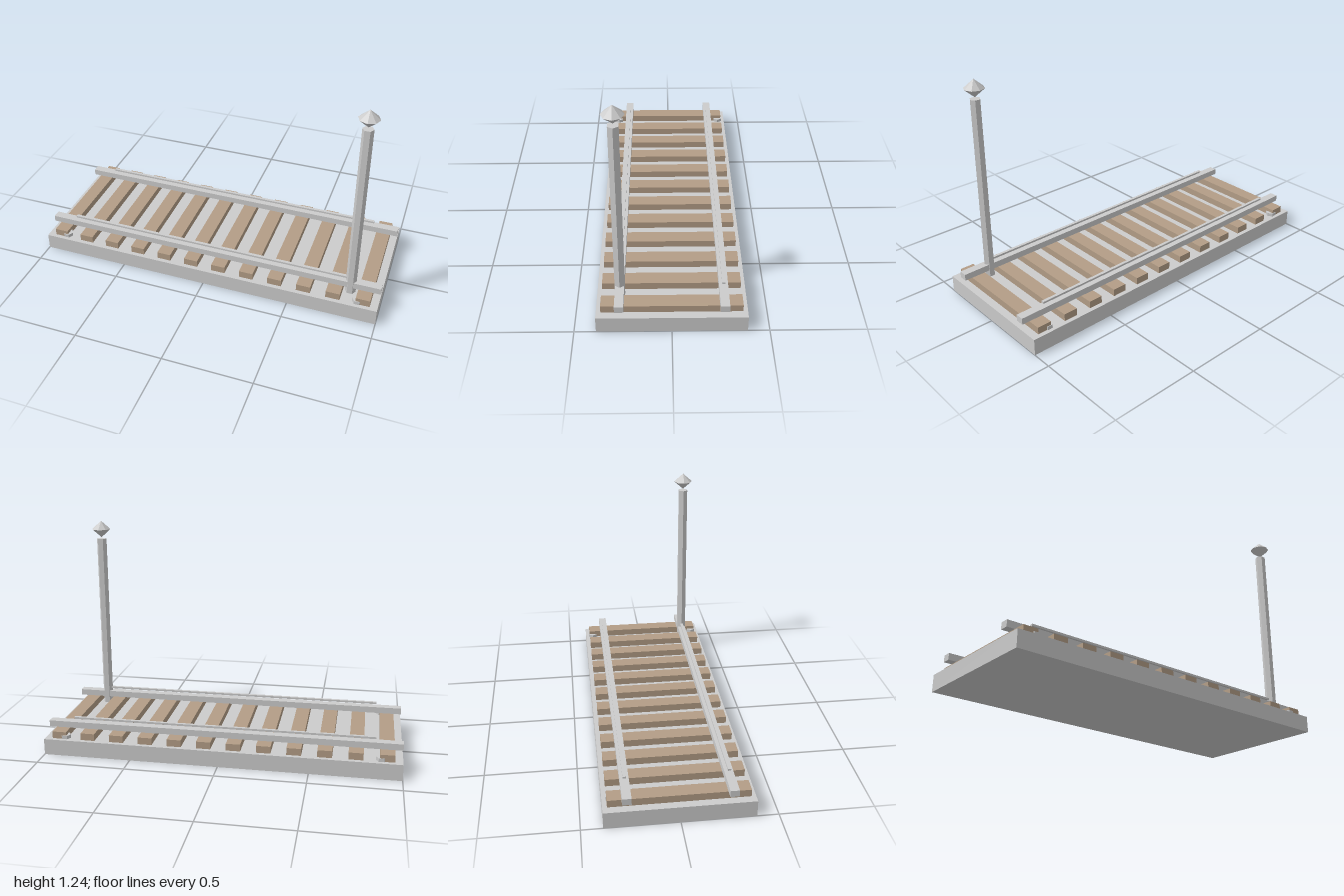
import * as THREE from 'three';

export function createModel() {
  const model = new THREE.Group();
  const grey = new THREE.MeshStandardMaterial({ color: 0xcccccc, flatShading: true });
  const wood = new THREE.MeshStandardMaterial({ color: 0xb39d86, flatShading: true });

  // Add a mesh centred on x and z, standing on the given height
  function add(name, geometry, material, x, bottom, z) {
    geometry.computeBoundingBox();
    const mesh = new THREE.Mesh(geometry, material);
    mesh.name = name;
    mesh.position.set(x, bottom - geometry.boundingBox.min.y, z);
    model.add(mesh);
    return mesh;
  }
  const box = (w, h, d) => new THREE.BoxGeometry(w, h, d);
  // Six-sided prism with corners pointing along x
  const hexPrism = (r, h) => new THREE.CylinderGeometry(r, r, h, 6).rotateY(Math.PI / 2);

  const bedTop = 0.092, tieTop = 0.132, railZ = 0.268;

  // Track bed
  add('trackBed', box(2, bedTop, 0.776), grey, 0, 0, 0);

  // Twelve wooden ties
  const tieCount = 12, spacing = 2 / tieCount;
  for (let i = 0; i < tieCount; i++) {
    add('tie', box(0.08, tieTop - bedTop, 0.728), wood, -1 + spacing * (i + 0.5), bedTop, 0);
  }

  // Rails with a thin strip hovering above each, and a bolt at each corner
  for (const side of [1, -1]) {
    add('rail', box(2, 0.036, 0.047), grey, 0, tieTop, side * railZ);
    add('railStrip', box(1.71, 0.011, 0.017), grey, 0, 0.182, side * railZ);
    for (const end of [1, -1]) {
      add('bolt', hexPrism(0.03, 0.02), grey, end * 0.885, bedTop, side * 0.342);
    }
  }

  // Signal post with a faceted lamp floating over it
  add('signalPost', hexPrism(0.03, 1.045), grey, 0.83, bedTop, railZ);
  const lamp = new THREE.SphereGeometry(0.056, 8, 2).scale(1, 0.88, 1);
  add('signalLamp', lamp, grey, 0.83, 1.145, railZ);

  return model;
}
